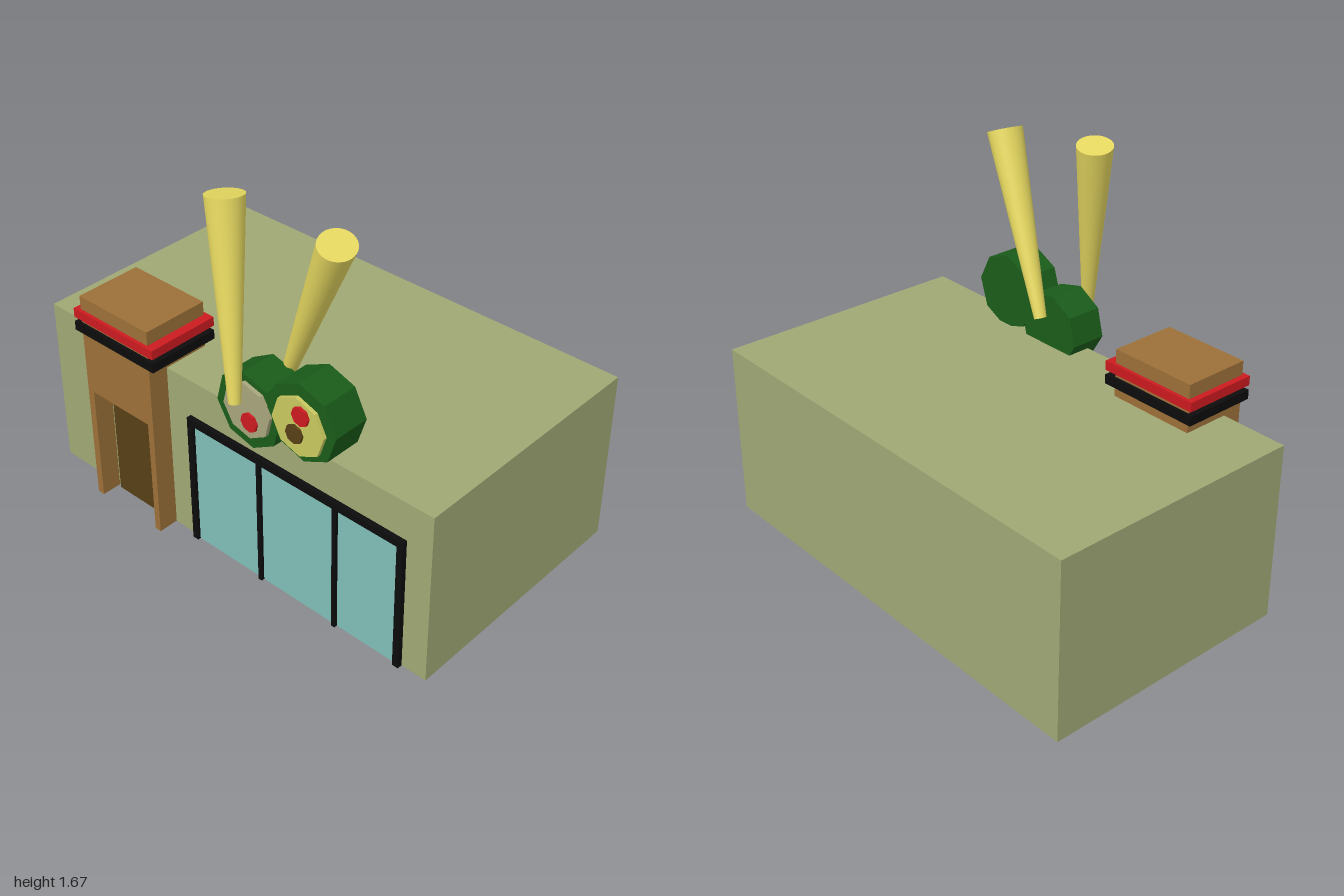
import * as THREE from 'three';

const mat = (color, flatShading = false) => new THREE.MeshStandardMaterial({ color, flatShading });
const OLIVE = mat(0xa0a875), BROWN = mat(0x9c7038), DOOR = mat(0x574015), GLASS = mat(0x80bdb6);
const BLACK = mat(0x0c0c0c), RED = mat(0xcc1a20), STICK = mat(0xe6d860);
const SEAWEED = mat(0x1a5c1a, true), RICE = mat(0xa8a67c, true), YELLOW_RICE = mat(0xc8c85f, true);
const FILL_RED = mat(0xcc1a20, true), FILL_BROWN = mat(0x574015, true);

export function createModel() {
  const model = new THREE.Group();

  const add = (parent, name, geometry, material) => {
    const mesh = new THREE.Mesh(geometry, material);
    mesh.name = name;
    parent.add(mesh);
    return mesh;
  };
  const group = (name) => {
    const g = new THREE.Group();
    g.name = name;
    model.add(g);
    return g;
  };
  // Box given by its limits on each axis
  const box = (parent, name, [x0, x1], [y0, y1], [z0, z1], material) => {
    const mesh = add(parent, name, new THREE.BoxGeometry(x1 - x0, y1 - y0, z1 - z0), material);
    mesh.position.set((x0 + x1) / 2, (y0 + y1) / 2, (z0 + z1) / 2);
    return mesh;
  };

  box(model, 'building', [-1, 1], [0, 0.77], [-0.625, 0.495], OLIVE);

  // Entrance tower with a doorway notch and two bands
  const entrance = group('entrance');
  const outline = new THREE.Shape([
    [-0.705, 0], [-0.672, 0], [-0.672, 0.53], [-0.35, 0.53],
    [-0.35, 0], [-0.32, 0], [-0.32, 0.975], [-0.705, 0.975],
  ].map(([x, y]) => new THREE.Vector2(x, y)));
  const tower = add(entrance, 'tower',
    new THREE.ExtrudeGeometry(outline, { depth: 0.295, bevelEnabled: false }), BROWN);
  tower.position.z = 0.29;
  box(entrance, 'door', [-0.655, -0.36], [0, 0.475], [0.46, 0.505], DOOR);
  box(entrance, 'blackBand', [-0.73, -0.28], [0.815, 0.855], [0.275, 0.6], BLACK);
  box(entrance, 'redBand', [-0.73, -0.28], [0.875, 0.915], [0.275, 0.6], RED);

  // Shop window
  const shop = group('shopWindow');
  const z = [0.48, 0.517];
  box(shop, 'glass', [-0.18, 0.87], [0, 0.59], [0.48, 0.503], GLASS);
  box(shop, 'topFrame', [-0.197, 0.887], [0.575, 0.605], z, BLACK);
  for (const [x, w] of [[-0.183, 0.028], [0.182, 0.018], [0.565, 0.018], [0.873, 0.028]])
    box(shop, 'framePost', [x - w / 2, x + w / 2], [0, 0.58], z, BLACK);

  // Octagonal disc facing +z; phase is the angle of one corner from +x
  const disc = (parent, name, x, y, r, z0, z1, phase, material) => {
    const geometry = new THREE.CylinderGeometry(r, r, z1 - z0, 8);
    geometry.rotateX(Math.PI / 2).rotateZ(THREE.MathUtils.degToRad(phase + 90));
    add(parent, name, geometry, material).position.set(x, y, (z0 + z1) / 2);
  };
  const rightRoll = group('rightRoll');
  disc(rightRoll, 'seaweed', 0.175, 0.84, 0.16, 0.39, 0.55, 8, SEAWEED);
  disc(rightRoll, 'rice', 0.183, 0.853, 0.118, 0.5, 0.567, 8, RICE);
  disc(rightRoll, 'filling', 0.203, 0.813, 0.04, 0.5, 0.578, 8, FILL_RED);

  const leftRoll = group('leftRoll');
  disc(leftRoll, 'seaweed', 0.441, 0.92, 0.165, 0.392, 0.552, 4, SEAWEED);
  disc(leftRoll, 'rice', 0.437, 0.908, 0.125, 0.5, 0.568, 4, YELLOW_RICE);
  disc(leftRoll, 'redFilling', 0.457, 0.967, 0.04, 0.5, 0.579, 4, FILL_RED);
  disc(leftRoll, 'brownFilling', 0.427, 0.877, 0.04, 0.5, 0.579, 4, FILL_BROWN);

  // Tapered chopsticks, thick end up
  const chopstick = (name, bottom, top, rTop, depthScale) => {
    const a = new THREE.Vector3(...bottom), b = new THREE.Vector3(...top);
    const mesh = add(model, name, new THREE.CylinderGeometry(rTop, 0.024, a.distanceTo(b), 32), STICK);
    mesh.position.lerpVectors(a, b, 0.5);
    mesh.quaternion.setFromUnitVectors(new THREE.Vector3(0, 1, 0), b.sub(a).normalize());
    mesh.scale.z = depthScale;
  };
  chopstick('rightChopstick', [0.16, 0.895, 0.6], [0.032, 1.655, 0.49], 0.073, 1.03);
  chopstick('leftChopstick', [0.187, 0.9, 0.357], [0.5, 1.612, 0.436], 0.068, 1.15);

  return model;
}
